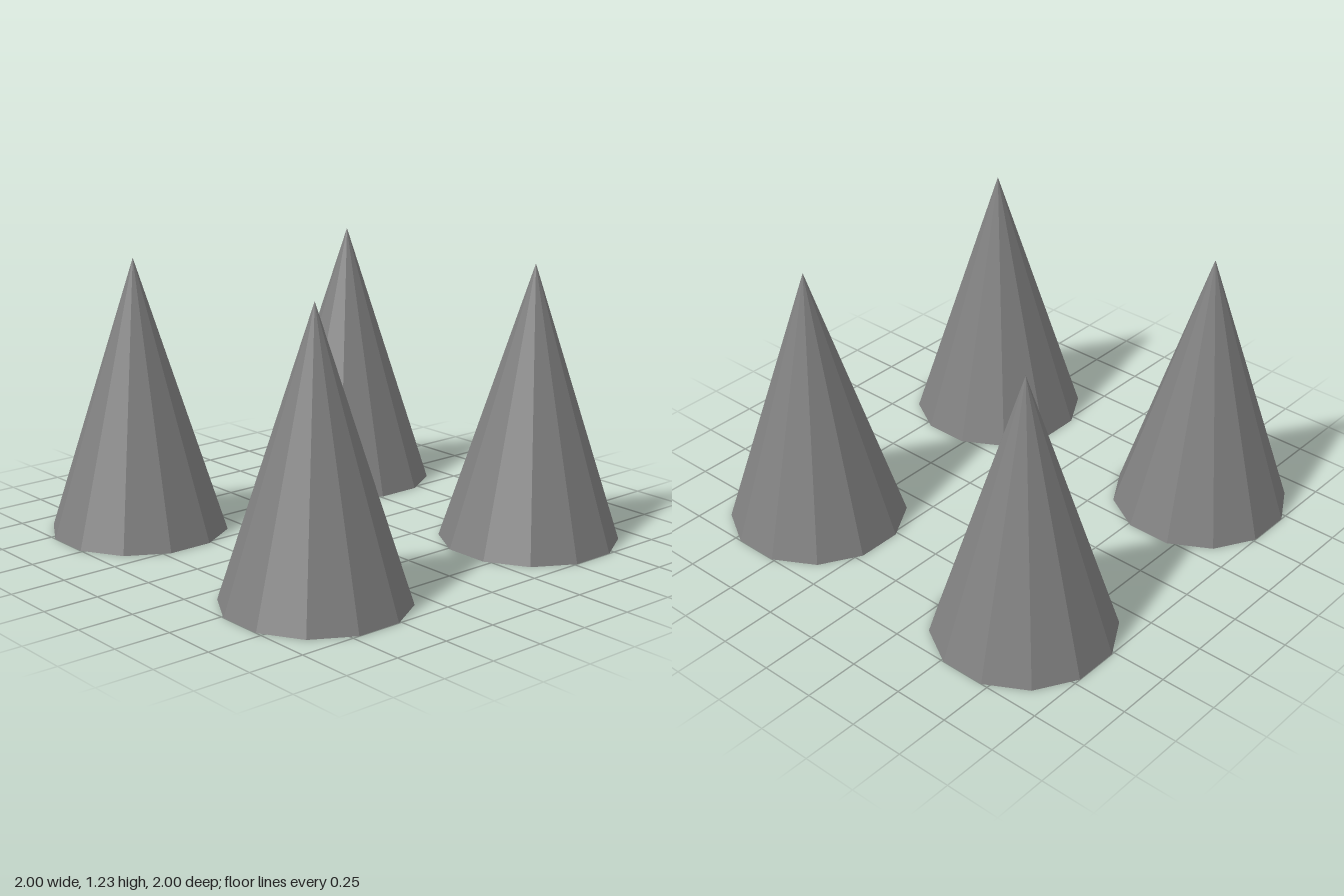
import * as THREE from 'three';

export function createModel() {
  const model = new THREE.Group();
  model.name = 'fourCones';

  const grey = new THREE.MeshStandardMaterial({ color: 0x808080, flatShading: true });
  grey.name = 'grey';

  // Twelve-sided cone, turned half a facet so flats face the axes
  const sides = 12, height = 1.23, apothem = 0.384, offset = 1 - apothem;
  const cone = new THREE.ConeGeometry(apothem / Math.cos(Math.PI / sides), height, sides);
  cone.rotateY(Math.PI / sides);
  cone.translate(0, height / 2, 0);

  // One cone in each corner
  for (const [zName, z] of [['front', 1], ['back', -1]]) {
    for (const [xName, x] of [['Left', 1], ['Right', -1]]) {
      const mesh = new THREE.Mesh(cone, grey);
      mesh.name = `${zName}${xName}Cone`;
      mesh.position.set(x * offset, 0, z * offset);
      model.add(mesh);
    }
  }
  return model;
}
